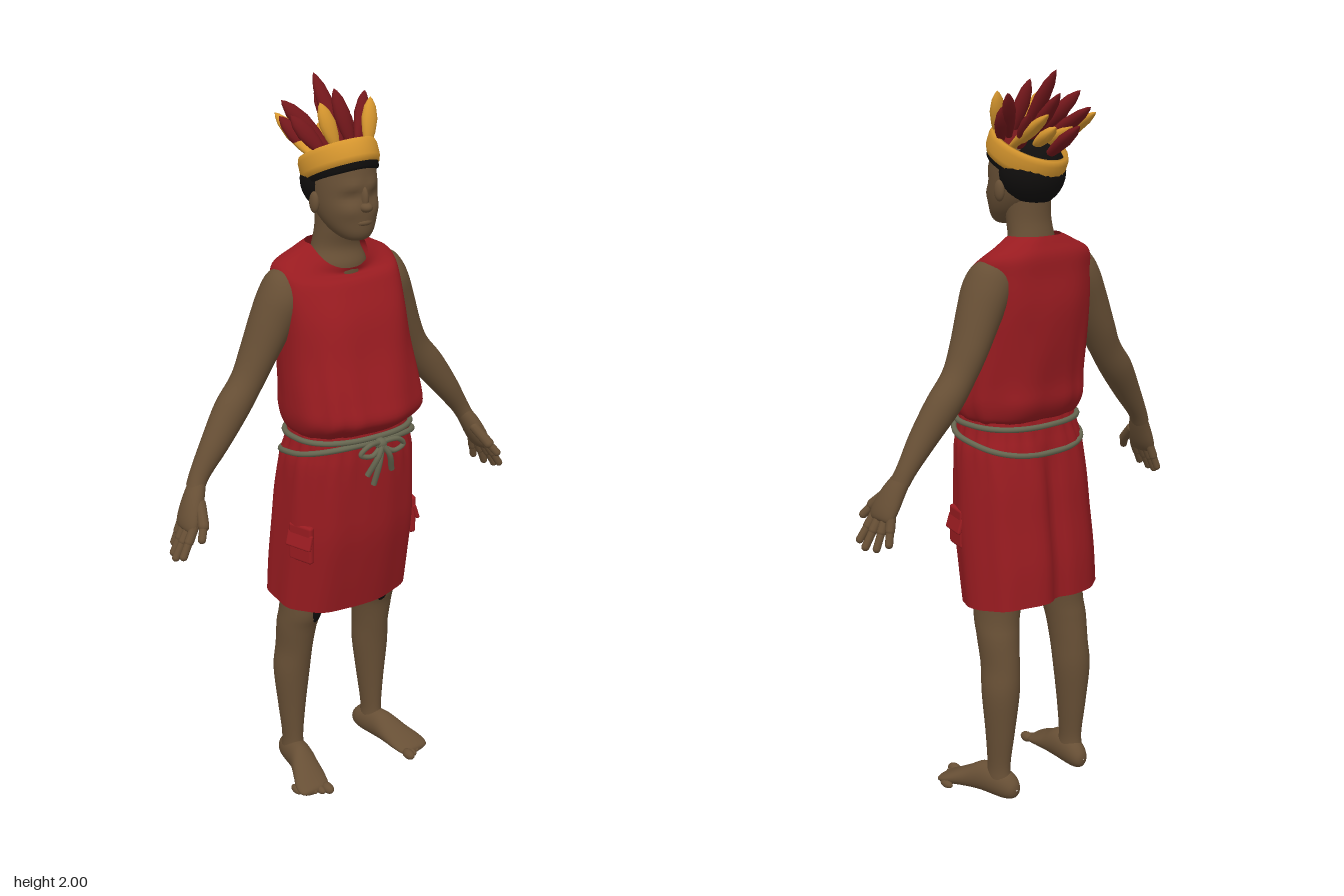
import * as THREE from 'three';
import { RoundedBoxGeometry } from 'three/addons/geometries/RoundedBoxGeometry.js';

const V = (x, y, z) => new THREE.Vector3(x, y, z);
const mat = (name, color, side = THREE.FrontSide) => {
  const m = new THREE.MeshStandardMaterial({ color, side });
  m.name = name;
  return m;
};

export function createModel() {
  const skin = mat('skin', 0x674f35);
  const cloth = mat('red cloth', 0x981b20, THREE.DoubleSide);
  const plume = mat('dark red feather', 0x73171b);
  const gold = mat('golden yellow', 0xd6962e);
  const black = mat('black', 0x100e0d);
  const cord = mat('grey green cord', 0x666650);

  const root = new THREE.Group();
  const add = (name, geo, material, parent = root) => {
    const m = new THREE.Mesh(geo, material);
    m.name = name;
    parent.add(m);
    return m;
  };
  const group = (name) => {
    const g = new THREE.Group();
    g.name = name;
    root.add(g);
    return g;
  };

  // Smooth skin over rings [x, y, z, radius along U, radius along W]
  function loft(rings, U, W, { power = 1, sub = 5, seg = 28, deform } = {}) {
    const pos = [], idx = [];
    const n = rings.length, rows = (n - 1) * sub;
    const at = (i) => rings[Math.min(n - 1, Math.max(0, i))];
    const bend = (c) => Math.sign(c) * Math.pow(Math.abs(c), power);
    for (let r = 0; r <= rows; r++) {
      const i = Math.min(n - 2, Math.floor(r / sub)), f = r / sub - i;
      const k = [0, 1, 2, 3, 4].map((c) => {
        const [a, b, d, e] = [at(i - 1)[c], at(i)[c], at(i + 1)[c], at(i + 2)[c]];
        return b + 0.5 * f * (d - a + f * (2 * a - 5 * b + 4 * d - e + f * (3 * (b - d) + e - a)));
      });
      for (let j = 0; j < seg; j++) {
        const t = (j / seg) * Math.PI * 2;
        const p = V(k[0], k[1], k[2])
          .addScaledVector(U, Math.max(0.001, k[3]) * bend(Math.cos(t)))
          .addScaledVector(W, Math.max(0.001, k[4]) * bend(Math.sin(t)));
        if (deform) deform(p, t, k);
        pos.push(p.x, p.y, p.z);
      }
    }
    const run = V(...rings[n - 1].slice(0, 3)).sub(V(...rings[0].slice(0, 3)));
    const flip = U.clone().cross(W).dot(run) < 0;
    for (let r = 0; r < rows; r++) for (let j = 0; j < seg; j++) {
      const a = r * seg + j, b = r * seg + (j + 1) % seg, c = a + seg, d = b + seg;
      if (flip) idx.push(a, c, b, b, c, d);
      else idx.push(a, b, c, b, d, c);
    }
    const g = new THREE.BufferGeometry();
    g.setAttribute('position', new THREE.Float32BufferAttribute(pos, 3));
    g.setIndex(idx);
    g.computeVertexNormals();
    return g;
  }
  const X = V(1, 0, 0), Y = V(0, 1, 0), Z = V(0, 0, 1);
  const blob = (name, p, s, material, parent) => {
    const m = add(name, new THREE.SphereGeometry(1, 24, 16), material, parent);
    m.position.set(...p);
    m.scale.set(...s);
    return m;
  };
  const rod = (name, a, b, r, material, parent) => {
    const d = b.clone().sub(a);
    const m = add(name, new THREE.CapsuleGeometry(r, d.length(), 5, 10), material, parent);
    m.position.copy(a).addScaledVector(d, 0.5);
    m.quaternion.setFromUnitVectors(Y, d.normalize());
  };

  // Tunic top: bloused over the belt, scooped collar
  add('tunicTop', loft([
    [0, 1.085, 0.02, 0.16, 0.11], [0, 1.1, 0.025, 0.176, 0.137], [0, 1.14, 0.037, 0.187, 0.168],
    [0, 1.2, 0.03, 0.186, 0.162], [0, 1.3, 0.008, 0.181, 0.15], [0, 1.4, -0.01, 0.182, 0.136],
    [0, 1.48, -0.027, 0.185, 0.108], [0, 1.53, -0.038, 0.176, 0.09],
    [0, 1.56, -0.035, 0.124, 0.077], [0, 1.58, -0.027, 0.082, 0.073],
  ], X, Z, { power: 0.82, seg: 72, deform: (p, t, k) => {
    const low = Math.max(0, 1 - Math.abs(k[1] - 1.15) / 0.2);
    const fold = 1 + 0.022 * low * Math.sin(t * 11 + 2 * Math.sin(t * 3)) + 0.01 * Math.sin(t * 7 + k[1] * 14);
    p.x *= fold;
    p.z = k[2] + (p.z - k[2]) * fold;
    p.y -= 0.06 * THREE.MathUtils.smoothstep(k[1], 1.48, 1.58) * Math.max(0, Math.sin(t));
  } }), cloth);

  // Tunic skirt: pleats at the waist, a deep fold at the back
  add('tunicSkirt', loft([
    [0, 1.11, 0.028, 0.162, 0.12], [0, 1.05, 0.025, 0.174, 0.13], [0, 1.0, 0.02, 0.187, 0.138],
    [0, 0.9, 0.01, 0.195, 0.147], [0, 0.8, 0.002, 0.2, 0.15], [0, 0.68, -0.015, 0.203, 0.147],
    [0, 0.575, -0.027, 0.205, 0.138],
  ], X, Z, { power: 0.82, seg: 96, deform: (p, t, k) => {
    const top = THREE.MathUtils.smoothstep(k[1], 0.9, 1.1), low = 1 - top;
    const back = Math.exp(-Math.pow((t - 4.75) / 0.1, 2));
    const fold = 1 + 0.02 * top * Math.sin(t * 24) + 0.016 * low * Math.sin(t * 9 + 1) - 0.14 * low * back;
    p.x *= fold;
    p.z = k[2] + (p.z - k[2]) * fold;
    p.y -= 0.015 * Math.sin(t) * low;
  } }), cloth);

  // Neck and head
  const head = group('head');
  add('neck', loft([
    [0, 1.5, -0.025, 0.084, 0.07], [0, 1.53, -0.025, 0.082, 0.068], [0, 1.57, -0.03, 0.067, 0.058],
    [0, 1.62, -0.02, 0.062, 0.058], [0, 1.68, -0.015, 0.062, 0.062],
  ], X, Z), skin, head);
  add('skull', loft([
    [0, 1.598, 0.06, 0.002, 0.002], [0, 1.603, 0.06, 0.03, 0.03], [0, 1.62, 0.045, 0.052, 0.058],
    [0, 1.65, 0.026, 0.07, 0.08], [0, 1.69, 0.01, 0.081, 0.096], [0, 1.74, 0.003, 0.085, 0.096],
    [0, 1.79, -0.003, 0.084, 0.094], [0, 1.81, 0.005, 0.077, 0.08], [0, 1.825, 0.02, 0.05, 0.055],
    [0, 1.83, 0.025, 0.002, 0.002],
  ], X, Z, { seg: 36, deform: (p, t, k) => {
    // Brow ridge, sunken eye sockets and cheekbones
    const at = (y, x, w) => Math.exp(-Math.pow((k[1] - y) / w, 2) - Math.pow((Math.abs(p.x) - x) / 0.025, 2));
    if (Math.sin(t) > 0) p.z += 0.006 * at(1.745, 0.03, 0.014) - 0.009 * at(1.715, 0.035, 0.014) + 0.005 * at(1.68, 0.045, 0.018);
  } }), skin, head);
  blob('hair', [0, 1.742, -0.03], [0.0925, 0.092, 0.09], black, head);
  blob('nose', [0, 1.69, 0.104], [0.017, 0.013, 0.02], skin, head);
  blob('noseBridge', [0, 1.71, 0.097], [0.01, 0.032, 0.015], skin, head);
  blob('lips', [0, 1.65, 0.092], [0.028, 0.011, 0.017], skin, head);
  for (const s of [1, -1]) blob('ear', [s * 0.086, 1.695, 0], [0.011, 0.028, 0.017], skin, head);

  // Headband, raised at the front, with the hairline showing below it
  const headdress = group('headdress');
  const ring = (name, profile, material) => {
    const m = add(name, new THREE.LatheGeometry(profile.map((p) => new THREE.Vector2(...p)), 40), material, headdress);
    m.position.set(0, 1.79, -0.014);
    m.rotation.x = -0.42;
    m.scale.set(0.97, 1, 1.18);
  };
  ring('headband', [
    [0.088, -0.029], [0.096, -0.029], [0.101, -0.014], [0.101, 0.016], [0.096, 0.03],
    [0.088, 0.03], [0.086, 0], [0.088, -0.029],
  ], gold);
  ring('hairline', [[0.083, -0.047], [0.0925, -0.042], [0.0945, -0.02]], black);
  blob('featherBed', [0, 1.795, -0.016], [0.084, 0.034, 0.1], plume, headdress).rotation.x = -0.42;

  // Feathers: base, tip
  const vane = [[0.001, 0], [0.009, 0.08], [0.019, 0.35], [0.023, 0.6], [0.017, 0.82], [0.007, 0.95], [0, 1]]
    .map((p) => new THREE.Vector2(...p));
  const feather = (a, b, material) => {
    const base = V(...a), dir = V(...b).sub(base), len = dir.length();
    dir.normalize();
    const side = dir.clone().cross(Z).normalize();
    const m = add('feather', new THREE.LatheGeometry(vane, 14), material, headdress);
    m.quaternion.setFromRotationMatrix(new THREE.Matrix4().makeBasis(side, dir, side.clone().cross(dir)));
    m.position.copy(base);
    m.scale.set(1, len, 0.72);
  };
  [
    [[0.005, 1.82, 0.045], [-0.025, 1.975, 0]], [[0, 1.82, 0.01], [-0.015, 2.0, -0.105]],
    [[0.02, 1.8, -0.02], [0.03, 1.945, -0.165]], [[-0.02, 1.8, -0.03], [-0.045, 1.91, -0.2]],
    [[0, 1.77, -0.07], [0.005, 1.865, -0.21]],
  ].forEach(([a, b]) => feather(a, b, plume));
  for (const s of [1, -1]) {
    feather([s * 0.04, 1.82, 0.01], [s * 0.13, 1.945, -0.08], plume);
    feather([s * 0.06, 1.81, 0.02], [s * 0.122, 1.91, -0.05], plume);
    feather([s * 0.045, 1.79, -0.03], [s * 0.105, 1.895, -0.13], plume);
    feather([s * 0.045, 1.82, 0.05], [s * 0.078, 1.947, 0.015], gold);
    feather([s * 0.065, 1.79, 0], [s * 0.085, 1.895, -0.18], gold);
    feather([s * 0.02, 1.8, -0.05], [s * 0.03, 1.86, -0.15], gold);
  }

  for (const s of [1, -1]) {
    const sideName = s > 0 ? 'left' : 'right';
    const mirror = (rings) => rings.map(([x, ...rest]) => [s * x, ...rest]);

    // Arm
    const arm = group(sideName + 'Arm');
    const U = V(s * 0.87, 0.49, 0);
    add('arm', loft(mirror([
      [0.115, 1.52, -0.04, 0.03, 0.03], [0.14, 1.488, -0.038, 0.06, 0.058], [0.168, 1.445, -0.036, 0.062, 0.069],
      [0.2, 1.383, -0.04, 0.057, 0.063], [0.24, 1.3, -0.045, 0.047, 0.055], [0.275, 1.235, -0.045, 0.043, 0.047],
      [0.325, 1.17, -0.042, 0.046, 0.046], [0.385, 1.09, -0.032, 0.037, 0.038], [0.435, 1.02, -0.027, 0.026, 0.029],
      [0.455, 0.985, -0.02, 0.023, 0.03],
    ]), U, Z), skin, arm);

    // Hand with spread fingers
    add('palm', loft(mirror([
      [0.44, 1.01, -0.025, 0.019, 0.025], [0.465, 0.965, -0.01, 0.025, 0.036], [0.487, 0.92, 0, 0.024, 0.044],
      [0.5, 0.893, 0.003, 0.016, 0.04], [0.503, 0.886, 0.003, 0.002, 0.02],
    ]), U, Z), skin, arm);
    [[-0.029, 0.512, 0.838, -0.042], [-0.009, 0.53, 0.824, -0.014], [0.013, 0.541, 0.824, 0.018], [0.034, 0.535, 0.836, 0.048]]
      .forEach(([z0, x1, y1, z1]) => {
        const start = V(s * 0.492, 0.905, z0), tip = V(s * x1, y1, z1);
        const knuckle = start.clone().lerp(tip, 0.5);
        rod('finger', start, knuckle, 0.0125, skin, arm);
        rod('fingertip', knuckle, tip, 0.0105, skin, arm);
      });
    rod('thumb', V(s * 0.462, 0.955, 0.018), V(s * 0.48, 0.915, 0.062), 0.015, skin, arm);
    rod('thumbTip', V(s * 0.48, 0.915, 0.062), V(s * 0.497, 0.888, 0.08), 0.011, skin, arm);

    // Leg
    const leg = group(sideName + 'Leg');
    add('leg', loft(mirror([
      [0.1, 0.78, -0.03, 0.075, 0.08], [0.122, 0.56, -0.022, 0.06, 0.072], [0.132, 0.48, -0.036, 0.055, 0.064],
      [0.135, 0.4, -0.048, 0.05, 0.06], [0.14, 0.32, -0.055, 0.051, 0.056], [0.142, 0.2, -0.054, 0.038, 0.045],
      [0.143, 0.1, -0.05, 0.028, 0.037], [0.143, 0.05, -0.05, 0.03, 0.042], [0.143, 0.015, -0.055, 0.022, 0.03],
    ]), X, Z), skin, leg);
    blob('underShortsHem', [s * 0.118, 0.54, 0.025], [0.024, 0.05, 0.0265], black, leg).rotation.x = 0.27;

    // Foot, turned slightly outward
    add('foot', loft(mirror([
      [0.135, 0.035, -0.115, 0.002, 0.002], [0.135, 0.035, -0.107, 0.02, 0.024], [0.139, 0.042, -0.075, 0.033, 0.041],
      [0.15, 0.046, 0, 0.037, 0.045], [0.163, 0.034, 0.05, 0.045, 0.032], [0.176, 0.022, 0.095, 0.051, 0.02],
      [0.18, 0.015, 0.125, 0.042, 0.012], [0.18, 0.014, 0.132, 0.002, 0.002],
    ]), X, Y), skin, leg);
    for (let i = 0; i < 5; i++) {
      const r = i ? 0.0115 : 0.015;
      blob('toe', [s * (0.147 + 0.0185 * i), r, 0.137 - 0.0125 * i], [r, r, 0.023], skin, leg);
    }

    // Side pocket and flap
    const pocket = group(sideName + 'Pocket');
    pocket.position.set(s * 0.182, 0.785, 0.068);
    pocket.rotation.y = -s * 0.3;
    add('pocketBag', new RoundedBoxGeometry(0.02, 0.11, 0.078, 2, 0.008), cloth, pocket);
    const flap = add('pocketFlap', new RoundedBoxGeometry(0.012, 0.045, 0.084, 2, 0.005), cloth, pocket);
    flap.position.set(s * 0.009, 0.01, 0);
    flap.rotation.z = s * 0.3;
  }

  // Cord belt: two loops, the second sagging at the back
  const belt = group('cordBelt');
  const tube = (name, pts, r, closed = false) =>
    add(name, new THREE.TubeGeometry(new THREE.CatmullRomCurve3(pts, closed), closed ? 96 : 24, r, 8, closed), cord, belt);
  const bend = (c) => Math.sign(c) * Math.pow(Math.abs(c), 0.82);
  const loop = (y, sag, rx, rz, cz) => Array.from({ length: 40 }, (_, i) => {
    const t = (i / 40) * Math.PI * 2;
    return V(rx * bend(Math.cos(t)), y + sag * Math.sin(t), cz + rz * bend(Math.sin(t)));
  });
  tube('upperCord', loop(1.078, 0.005, 0.174, 0.134, 0.026), 0.008, true);
  tube('lowerCord', loop(1.035, 0.036, 0.184, 0.14, 0.022), 0.008, true);

  // Knot, bow and hanging ends
  blob('knot', [0, 1.07, 0.178], [0.018, 0.016, 0.016], cord, belt);
  for (const s of [1, -1]) {
    tube('bowLoop', [V(0, 1.07, 0.18), V(s * 0.045, 1.078, 0.19), V(s * 0.07, 1.055, 0.185), V(s * 0.035, 1.045, 0.188)], 0.007, true);
    tube('cordEnd', [V(0, 1.07, 0.185), V(s * 0.018, 1.04, 0.192), V(s * 0.04, 0.985, 0.174)], 0.008);
  }
  tube('longCordEnd', [V(0, 1.07, 0.185), V(-0.012, 1.02, 0.19), V(-0.02, 0.955, 0.175)], 0.008);

  return root;
}
